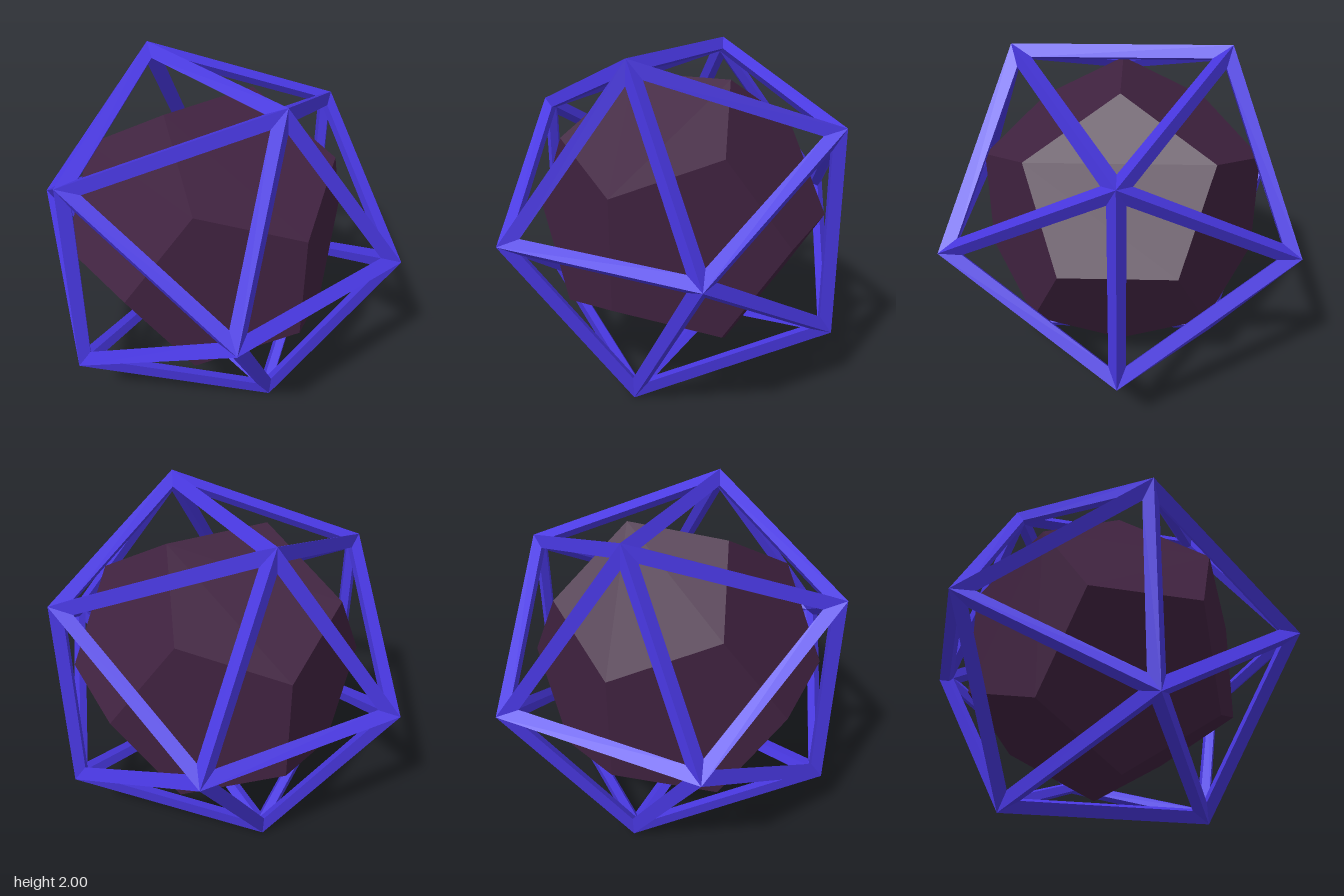
import * as THREE from 'three';

const RADIUS = Math.hypot(1, 0.618); // puts the outermost corners at distance 1 on each axis

// Mitred wire frame: every edge of the polyhedron becomes a diamond-section bar.
function frameGeometry(solid, middle, inner, inset) {
  const p = solid.getAttribute('position');
  const out = [];
  const quad = (a, b, c, d) => [a, b, c, a, c, d].forEach((v) => out.push(v.x, v.y, v.z));

  for (let f = 0; f < p.count; f += 3) {
    const outerRing = [0, 1, 2].map((k) => new THREE.Vector3().fromBufferAttribute(p, f + k));
    const centre = new THREE.Vector3();
    outerRing.forEach((v) => centre.addScaledVector(v, middle / 3));
    const middleRing = outerRing.map((v) => v.clone().multiplyScalar(middle).lerp(centre, inset));
    const innerRing = outerRing.map((v) => v.clone().multiplyScalar(inner));

    for (let i = 0; i < 3; i++) {
      const j = (i + 1) % 3;
      quad(outerRing[i], outerRing[j], middleRing[j], middleRing[i]);
      quad(middleRing[i], middleRing[j], innerRing[j], innerRing[i]);
    }
  }
  const g = new THREE.BufferGeometry();
  g.setAttribute('position', new THREE.Float32BufferAttribute(out, 3));
  g.computeVertexNormals();
  return g;
}

export function createModel() {
  const model = new THREE.Group();
  model.name = 'framedDodecahedron';

  // Open icosahedral cage
  const cage = new THREE.Mesh(
    frameGeometry(new THREE.IcosahedronGeometry(RADIUS, 0), 0.957, 0.914, 0.151),
    new THREE.MeshStandardMaterial({ color: 0x4837e0, flatShading: true })
  );
  cage.name = 'icosahedronFrame';
  cage.position.y = 1;
  model.add(cage);

  // Solid core, turned so each corner points through a cage opening
  const core = new THREE.Mesh(
    new THREE.DodecahedronGeometry(0.888, 0).rotateX(Math.PI / 2),
    new THREE.MeshStandardMaterial({ color: 0x402240, flatShading: true })
  );
  core.name = 'dodecahedronCore';
  core.position.y = 1;
  model.add(core);

  return model;
}
